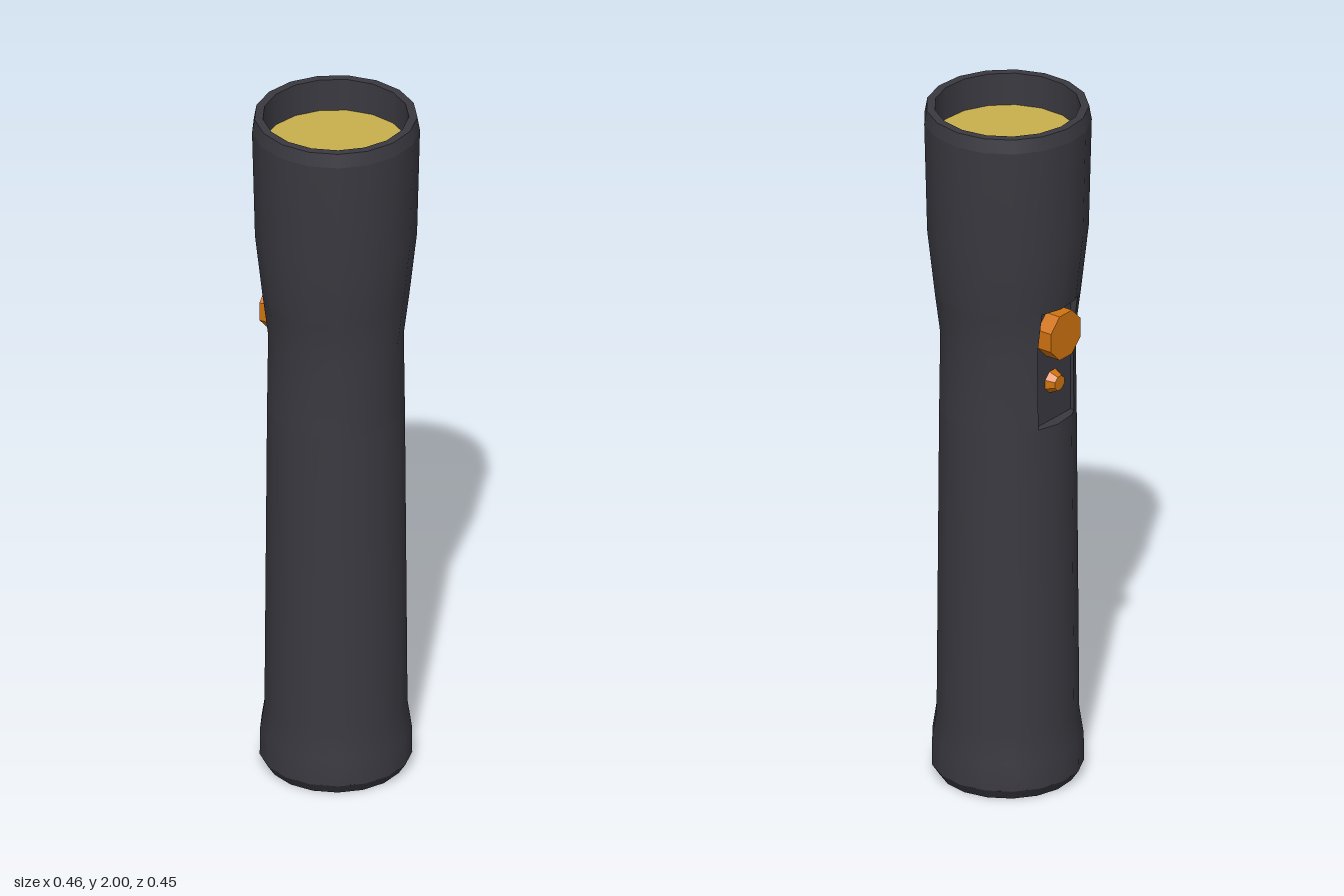
import * as THREE from 'three';
import { toCreasedNormals } from 'three/addons/utils/BufferGeometryUtils.js';

const SIDES = 17;
const SLOT = 0.08;     // half width of the switch recess
const FLOOR = 0.155;   // distance of the recess floor from the axis
// levels of the barrel section that holds the recess: [y, radius]
const LEVELS = [[1.1, 0.188], [1.33, 0.185], [1.45, 0.2]];

const body = new THREE.MeshStandardMaterial({ color: 0x3a3940 });
body.name = 'darkCasing';
const lensYellow = new THREE.MeshStandardMaterial({ color: 0xc9b04d });
lensYellow.name = 'lensYellow';
const orange = new THREE.MeshStandardMaterial({ color: 0xd07310 });
orange.name = 'switchOrange';

function add(group, name, geometry, material) {
  const mesh = new THREE.Mesh(geometry, material);
  mesh.name = name;
  group.add(mesh);
  return mesh;
}

// turned part; a repeated point makes a sharp edge
function turned(points) {
  return new THREE.LatheGeometry(points.map(p => new THREE.Vector2(...p)), SIDES, Math.PI);
}

function corner(k, r, y) {
  const a = Math.PI + k * Math.PI * 2 / SIDES;
  return new THREE.Vector3(Math.sin(a) * r, y, Math.cos(a) * r);
}

// point at depth z on the side between corners k and k + 1
function onSide(k, r, y, z) {
  const a = corner(k, r, y), b = corner(k + 1, r, y);
  return a.lerp(b, (z - a.z) / (b.z - a.z));
}

// joins rings of points, listed from bottom to top, into a strip
function strip(rings) {
  const index = [], n = rings[0].length;
  for (let j = 0; j < rings.length - 1; j++) {
    for (let i = 0; i < n - 1; i++) {
      const a = j * n + i, b = a + 1, c = a + n, d = c + 1;
      index.push(a, b, d, a, d, c);
    }
  }
  const g = new THREE.BufferGeometry().setFromPoints(rings.flat());
  g.setIndex(index);
  g.computeVertexNormals();
  return g;
}

function fan(points, flip) {
  const index = [];
  for (let i = 1; i < points.length - 1; i++) index.push(0, flip ? i + 1 : i, flip ? i : i + 1);
  const g = new THREE.BufferGeometry().setFromPoints(points);
  g.setIndex(index);
  g.computeVertexNormals();
  return g;
}

export function createModel() {
  const model = new THREE.Group();
  model.name = 'flashlight';

  // tail cap and handle
  add(model, 'handle', turned([
    [0, 0], [0.188, 0], [0.188, 0], [0.208, 0.03], [0.208, 0.03],
    [0.207, 0.11], [0.195, 0.19], [0.188, 1.1],
  ]), body);

  // flared head with hollow rim
  add(model, 'head', turned([
    [0.2, 1.45], [0.221, 1.64], [0.229, 1.96], [0.229, 1.96], [0.222, 2],
    [0.222, 2], [0.199, 2], [0.199, 2], [0.199, 1.9],
  ]), body);

  // lens, set down inside the rim
  add(model, 'lens', turned([[0.199, 1.905], [0, 1.905]]), lensYellow);

  // barrel section, open at the recess
  add(model, 'barrel', strip(LEVELS.map(([y, r]) => {
    const ring = [onSide(5, r, y, SLOT)];
    for (let k = 6; k <= 20; k++) ring.push(corner(k, r, y));
    ring.push(onSide(3, r, y, -SLOT));
    return ring;
  })), body);

  // recess floor with its two side walls
  add(model, 'recess', toCreasedNormals(strip(LEVELS.map(([y, r]) => [
    onSide(3, r, y, -SLOT),
    new THREE.Vector3(-FLOOR, y, -SLOT),
    new THREE.Vector3(-FLOOR, y, SLOT),
    onSide(5, r, y, SLOT),
  ])), 0.5), body);

  // ledges closing the recess at both ends
  [LEVELS[0], LEVELS[2]].forEach(([y, r], i) => {
    add(model, i ? 'upperLedge' : 'lowerLedge', fan([
      new THREE.Vector3(-FLOOR, y, SLOT),
      new THREE.Vector3(-FLOOR, y, -SLOT),
      onSide(3, r, y, -SLOT), corner(4, r, y), corner(5, r, y),
      onSide(5, r, y, SLOT),
    ], i === 1), body);
  });

  // power switch and small indicator
  const knob = (name, y, outer, rTop, rBase) => {
    const depth = outer - 0.15;
    const g = new THREE.CylinderGeometry(rTop, rBase, depth, 8, 1, false, Math.PI / 8);
    g.rotateZ(Math.PI / 2);
    add(model, name, toCreasedNormals(g, 0.5), orange).position.set(-0.15 - depth / 2, y, 0);
  };
  knob('powerSwitch', 1.365, 0.201, 0.071, 0.071);
  knob('indicator', 1.215, 0.18, 0.022, 0.037);

  return model;
}
